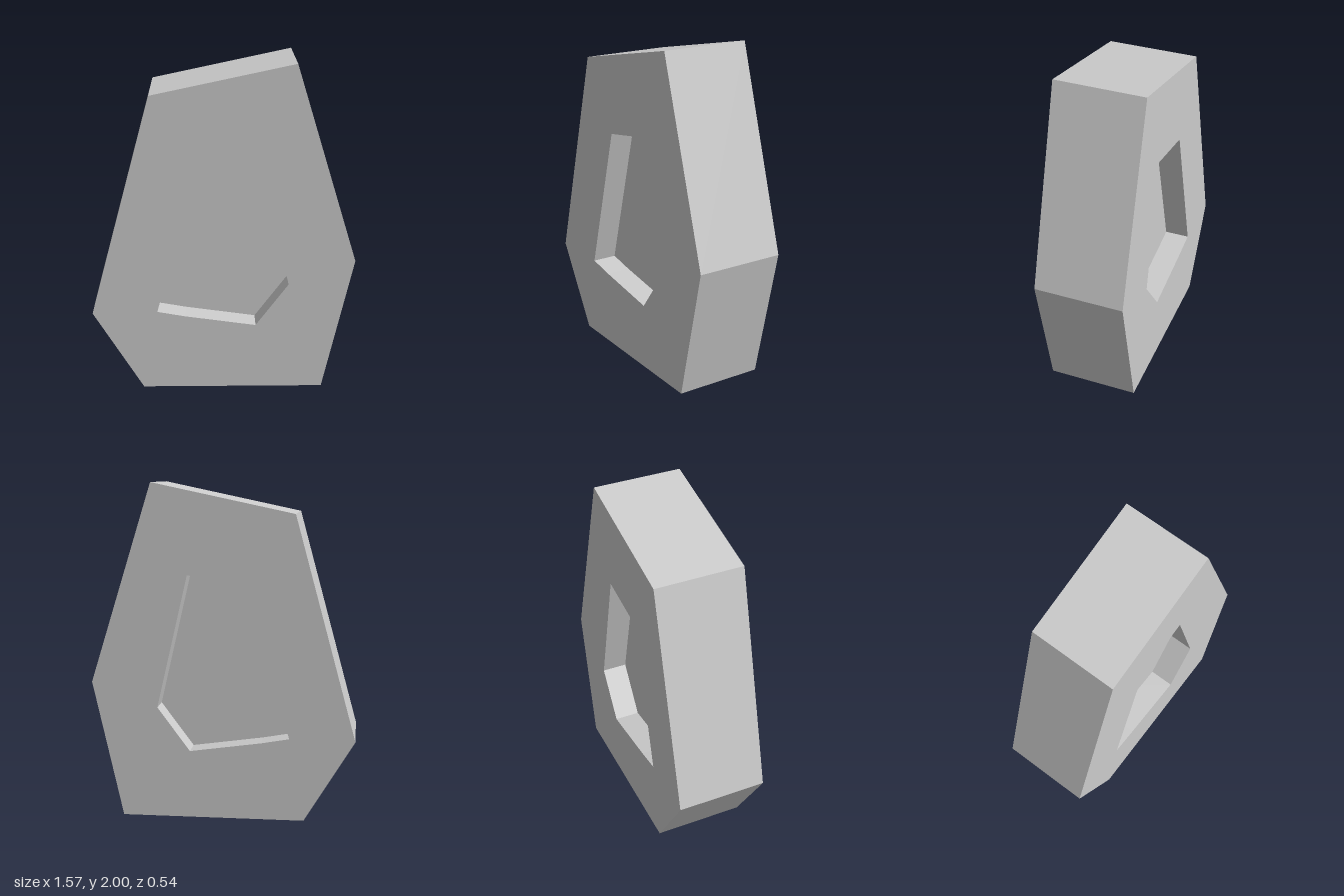
import * as THREE from 'three';

const HALF_DEPTH = 0.272;
const RECESS = 0.15;

// Outlines in the x-y plane, counter-clockwise
const OUTER = [[-0.487, 0], [0.603, 0], [0.787, 0.817], [0.421, 2], [-0.425, 1.82], [-0.787, 0.489]];
const INNER = [[-0.397, 0.497], [-0.23, 0.467], [0.196, 0.407], [0.392, 0.669], [0.209, 1.462], [-0.154, 1.4]];

const toPoints = (list) => list.map(([x, y]) => new THREE.Vector2(x, y));

export function createModel() {
  const group = new THREE.Group();
  group.name = 'facetedSlab';
  const material = new THREE.MeshStandardMaterial({ color: 0xcccccc, flatShading: true });

  // Thick slab with an opening through it
  const shape = new THREE.Shape(toPoints(OUTER));
  shape.holes.push(new THREE.Path(toPoints(INNER)));
  const slab = new THREE.Mesh(
    new THREE.ExtrudeGeometry(shape, { depth: 2 * HALF_DEPTH, bevelEnabled: false }).translate(0, 0, -HALF_DEPTH),
    material
  );
  slab.name = 'slab';
  group.add(slab);

  // Web closing the opening, leaving an equal recess on front and back
  const webHalf = HALF_DEPTH - RECESS;
  const web = new THREE.Mesh(
    new THREE.ExtrudeGeometry(new THREE.Shape(toPoints(INNER)), { depth: 2 * webHalf, bevelEnabled: false })
      .translate(0, 0, -webHalf),
    material
  );
  web.name = 'recessFloor';
  group.add(web);

  return group;
}
